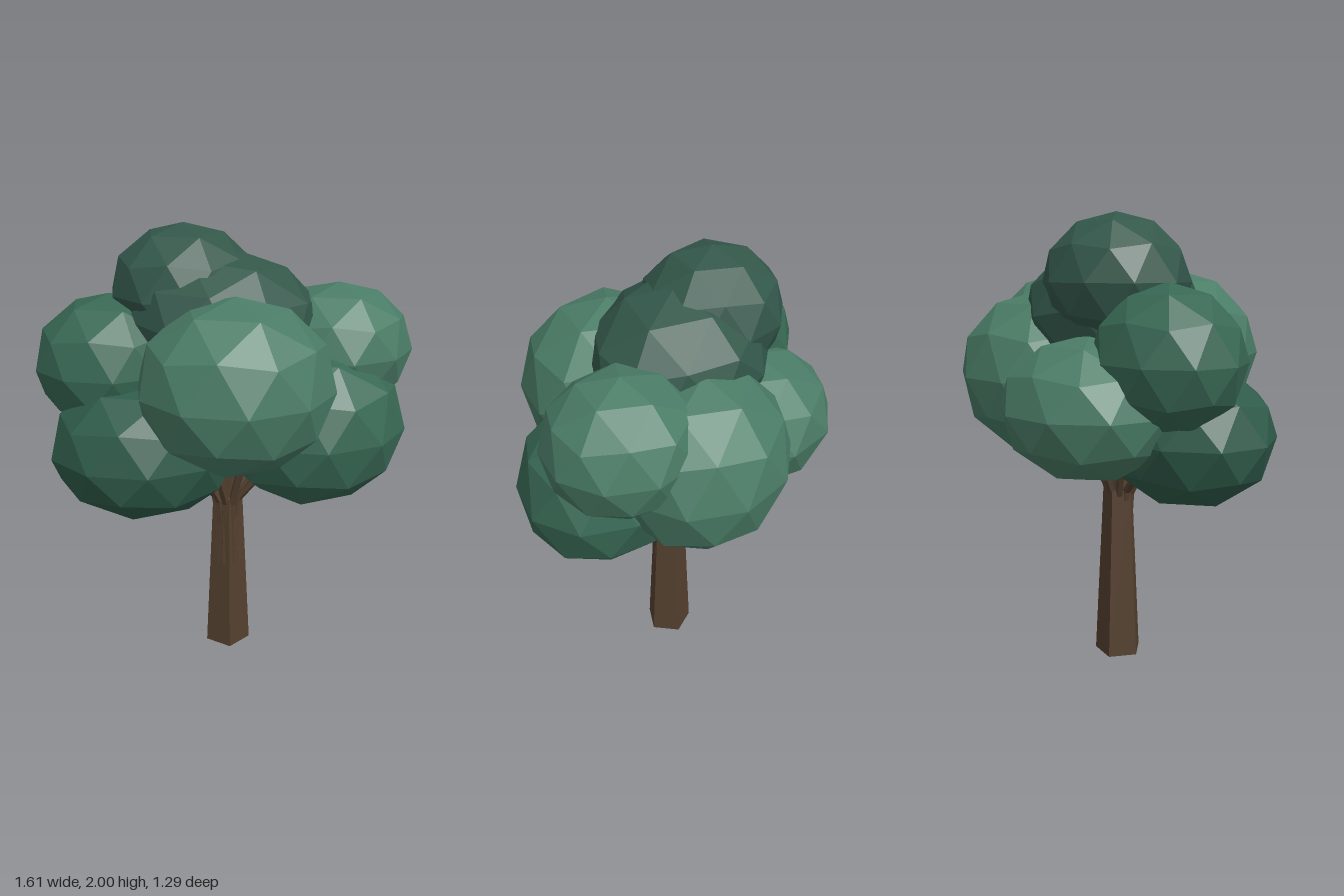
import * as THREE from 'three';

const material = (color) => new THREE.MeshStandardMaterial({ color, flatShading: true });

// Tapered limb: a tube along a curve whose rings shrink toward the tip
function limb(points, baseRadius, tipRadius, mat) {
  const curve = new THREE.CatmullRomCurve3(points.map((p) => new THREE.Vector3(...p)));
  const segments = 6, sides = 5;
  const geo = new THREE.TubeGeometry(curve, segments, 1, sides);
  const pos = geo.attributes.position;
  const v = new THREE.Vector3();
  for (let i = 0; i < pos.count; i++) {
    const t = Math.floor(i / (sides + 1)) / segments;
    const c = curve.getPointAt(t);
    v.fromBufferAttribute(pos, i).sub(c);
    v.multiplyScalar(THREE.MathUtils.lerp(baseRadius, tipRadius, t)).add(c);
    pos.setXYZ(i, v.x, v.y, v.z);
  }
  return new THREE.Mesh(geo, mat);
}

export function createModel() {
  const tree = new THREE.Group();
  tree.name = 'tree';
  const bark = material(0x54402f);
  const light = material(0x4a7c66);
  const mid = material(0x386854);
  const deep = material(0x2f5b4a);
  const dark = material(0x33574a);

  // Five-sided tapering trunk
  const trunkHeight = 0.79;
  const trunk = new THREE.Mesh(new THREE.CylinderGeometry(0.071, 0.11, trunkHeight, 5), bark);
  trunk.name = 'trunk';
  trunk.position.set(0, trunkHeight / 2, -0.008);
  tree.add(trunk);

  // Leaf clumps: name, centre, radii, material, tilt
  const clumps = [
    ['frontClump', [0, 1.405, 0.27], [0.41, 0.368, 0.375], light],
    ['lowerRightClump', [-0.37, 1.10, 0.11], [0.41, 0.31, 0.35], deep],
    ['lowerLeftClump', [0.35, 1.17, 0.115], [0.41, 0.36, 0.345], mid],
    ['upperRightClump', [-0.49, 1.425, -0.065], [0.336, 0.3, 0.3], mid],
    ['upperLeftClump', [0.49, 1.47, -0.05], [0.33, 0.28, 0.31], light],
    ['backRightClump', [-0.25, 1.22, -0.28], [0.39, 0.3, 0.37], light],
    ['backLeftClump', [0.25, 1.31, -0.27], [0.405, 0.37, 0.36], light],
    ['centreClump', [-0.01, 1.58, -0.05], [0.44, 0.32, 0.37], dark, -0.14],
    ['topClump', [-0.17, 1.72, -0.115], [0.322, 0.28, 0.305], dark],
  ];
  // Faceted ball turned so that a corner points straight up
  const ball = new THREE.IcosahedronGeometry(1, 1);
  ball.rotateZ(-Math.atan(2 / (1 + Math.sqrt(5))));
  for (const [name, centre, radii, mat, tilt = 0] of clumps) {
    const clump = new THREE.Mesh(ball, mat);
    clump.name = name;
    clump.position.set(...centre);
    clump.scale.set(...radii);
    clump.rotation.z = tilt;
    tree.add(clump);
  }

  // Branches rise along the trunk, then fan out into the leaves
  const branches = new THREE.Group();
  branches.name = 'branches';
  const count = 10;
  for (let i = 0; i < count; i++) {
    const a = ((i + 0.5) / count) * Math.PI * 2;
    const spread = i % 2 ? 0.28 : 0.22;
    const at = (r, y, depth = 1) => [Math.sin(a) * r, y, Math.cos(a) * r * depth];
    const branch = limb(
      [at(0.055, 0.45), at(0.05, 0.77), at(spread * 0.55, 0.89, 0.7), at(spread, 1.05, 0.6)],
      0.018, 0.018, bark);
    branch.name = 'branch';
    branches.add(branch);
  }
  const leader = limb([[0, 0.7, 0], [0, 0.95, 0], [-0.01, 1.3, -0.03]], 0.045, 0.025, bark);
  leader.name = 'centralBranch';
  branches.add(leader);
  tree.add(branches);

  return tree;
}
